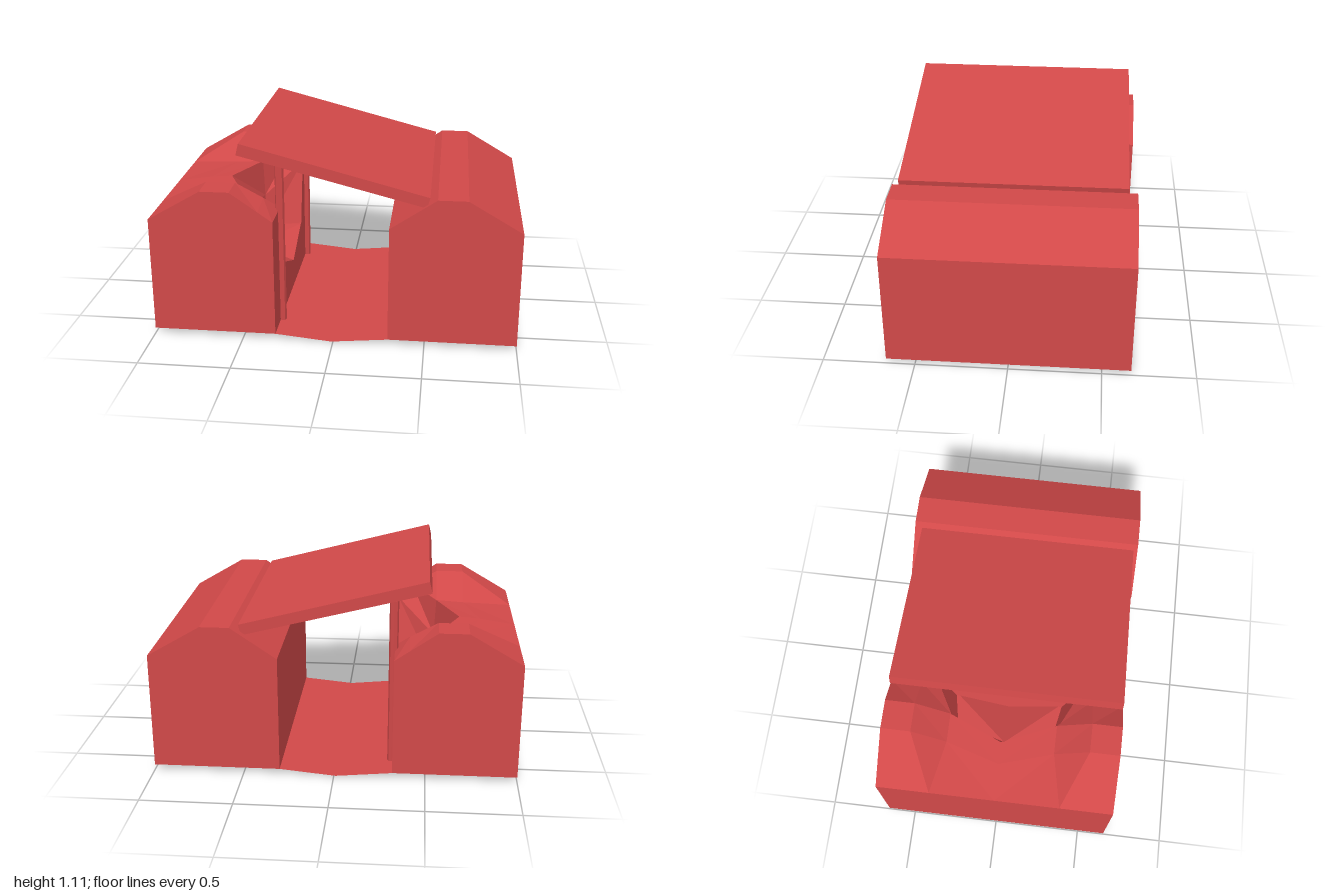
import * as THREE from 'three';

const DEPTH = 1.31, HALF = DEPTH / 2, BASE = 0.03;
const material = new THREE.MeshStandardMaterial({ color: 0xd04848, flatShading: true });
const sheetMaterial = new THREE.MeshStandardMaterial({ color: 0xd04848, flatShading: true, side: THREE.DoubleSide });

function addMesh(group, name, geometry, mat = material) {
  const mesh = new THREE.Mesh(geometry, mat);
  mesh.name = name;
  group.add(mesh);
  return mesh;
}

// Straight prism along z from an x/y outline, from z0 to z1
function prism(outline, z0, z1) {
  const shape = new THREE.Shape(outline.map(([x, y]) => new THREE.Vector2(x, y)));
  return new THREE.ExtrudeGeometry(shape, { depth: z1 - z0, bevelEnabled: false }).translate(0, 0, z0);
}

// Loft closed sections (ordered along +z, each clockwise seen from +z)
function loft(sections) {
  const n = sections[0].length, index = [];
  const id = (s, i) => s * n + (i % n);
  for (let s = 0; s < sections.length - 1; s++) {
    for (let i = 0; i < n; i++) {
      const a = id(s, i), b = id(s, i + 1), c = id(s + 1, i), d = id(s + 1, i + 1);
      // Mirror the diagonals about the middle section
      if (s >= (sections.length - 1) / 2) index.push(a, c, d, a, d, b);
      else index.push(a, c, b, b, c, d);
    }
  }
  const last = sections.length - 1;
  for (let i = 1; i < n - 1; i++) {
    index.push(id(0, 0), id(0, i), id(0, i + 1));
    index.push(id(last, 0), id(last, i + 1), id(last, i));
  }
  const geometry = new THREE.BufferGeometry();
  geometry.setAttribute('position', new THREE.Float32BufferAttribute(sections.flat(2), 3));
  geometry.setIndex(index);
  const flat = geometry.toNonIndexed();
  flat.computeVertexNormals();
  return flat;
}

// Bank with a firing notch on top and a scooped step in its trench wall
function notchedBank() {
  const end = [
    [-1, BASE, HALF], [-1, 0.68, HALF], [-0.71, 0.85, HALF], [-0.55, 0.85, HALF],
    [-0.4, 0.746, HALF], [-0.32, 0.69, HALF], [-0.32, 0.31, HALF], [-0.32, BASE, HALF],
  ];
  const shoulder = [
    [-1, BASE, 0.38], [-1, 0.68, 0.38], [-0.71, 0.85, 0.49], [-0.55, 0.85, 0.49],
    [-0.4, 0.765, 0.48], [-0.32, 0.69, 0.42], [-0.32, 0.31, 0.32], [-0.32, BASE, 0.32],
  ];
  const notch = [
    [-1, BASE, 0.36], [-1, 0.68, 0.36], [-0.71, 0.71, 0.3], [-0.55, 0.72, 0.3],
    [-0.54, 0.5, 0.29], [-0.53, 0.3, 0.28], [-0.32, 0.31, 0.3], [-0.32, BASE, 0.3],
  ];
  const middle = [
    [-1, BASE, 0], [-1, 0.68, 0], [-0.8, 0.71, 0], [-0.68, 0.72, 0],
    [-0.62, 0.5, 0], [-0.57, 0.28, 0], [-0.32, 0.19, 0], [-0.32, BASE, 0],
  ];
  const mirror = (section) => section.map(([x, y, z]) => [x, y, -z]);
  return loft([mirror(end), mirror(shoulder), mirror(notch), middle, notch, shoulder, end]);
}

// Sagging trench floor
function trenchFloor() {
  const geometry = new THREE.PlaneGeometry(0.62, DEPTH, 2, 1).rotateX(-Math.PI / 2).translate(-0.01, 0, 0);
  const p = geometry.attributes.position;
  for (let i = 0; i < p.count; i++) p.setY(i, Math.abs(p.getX(i)) > 0.1 ? BASE : 0);
  geometry.computeVertexNormals();
  return geometry;
}

export function createModel() {
  const group = new THREE.Group();
  group.name = 'coveredTrench';

  addMesh(group, 'notchedBank', notchedBank());
  addMesh(group, 'plainBank', prism(
    [[0.3, BASE], [1, BASE], [1, 0.68], [0.71, 0.85], [0.55, 0.85], [0.3, 0.68]], -HALF, HALF));
  addMesh(group, 'trenchFloor', trenchFloor(), sheetMaterial);

  // Tilted roof slab
  addMesh(group, 'roofSlab', prism(
    [[-0.51, 1.05], [0.495, 0.795], [0.51, 0.853], [-0.495, 1.113]], -0.61, 0.63));

  // Two round posts under the raised side of the roof
  for (const z of [-0.49, 0.46]) {
    addMesh(group, 'roofPost', new THREE.CylinderGeometry(0.025, 0.025, 0.96, 8))
      .position.set(-0.313, 0.49, z);
  }
  return group;
}
